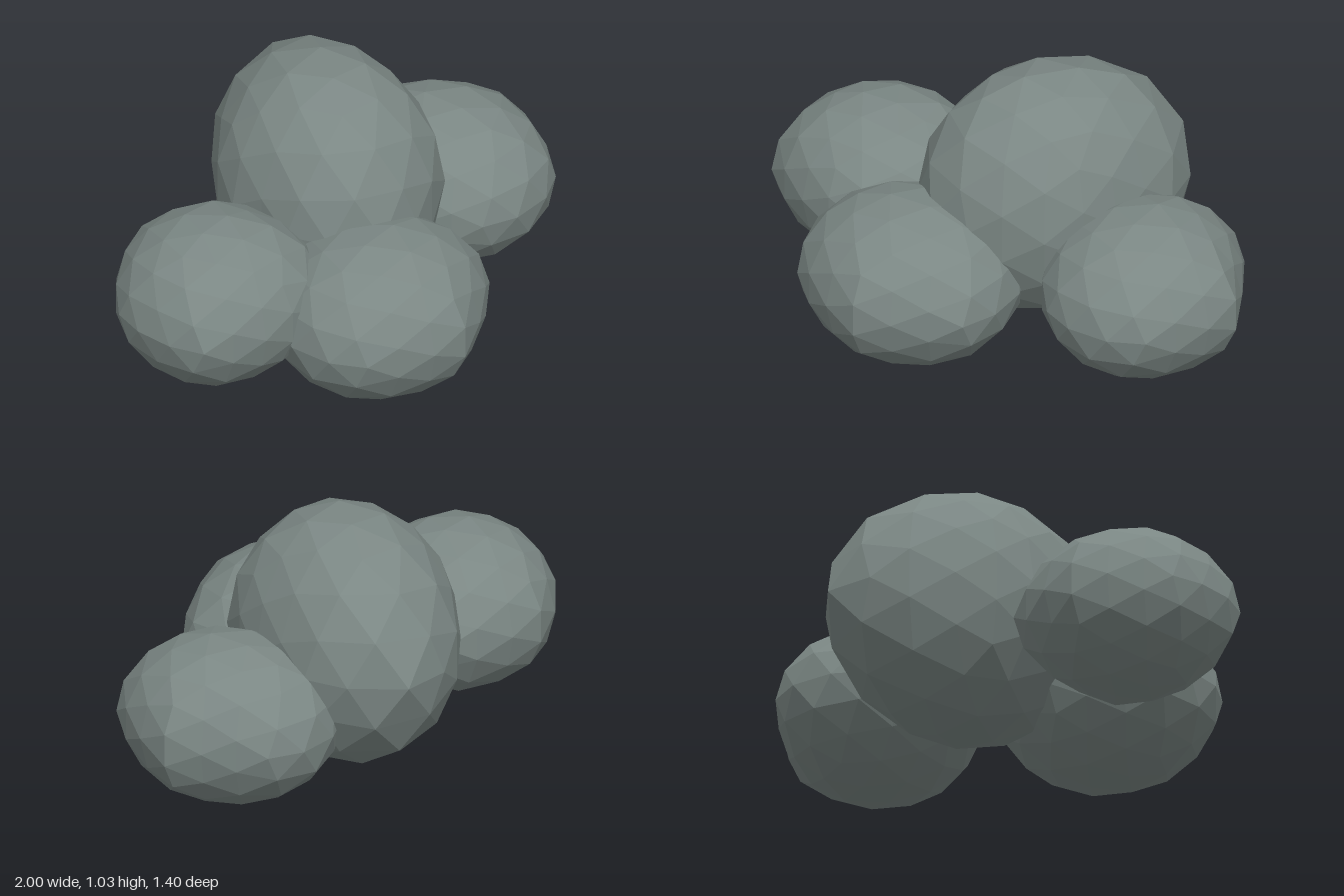
import * as THREE from 'three';

// Radius at an azimuth (0 = +x, turning towards +z), from 12 evenly spaced radii
function radiusAt(outline, azimuth) {
  const n = outline.length;
  const t = ((azimuth / (Math.PI * 2)) * n + n) % n;
  const i = Math.floor(t) % n;
  return THREE.MathUtils.lerp(outline[i], outline[(i + 1) % n], t - Math.floor(t));
}

// Faceted ball whose plan follows an uneven outline, squashed to the given half height
function makeBoulder({ name, centre, halfHeight, turn, outline }, material) {
  const geometry = new THREE.IcosahedronGeometry(1, 2);
  geometry.rotateY(THREE.MathUtils.degToRad(turn));
  const p = geometry.attributes.position;
  for (let i = 0; i < p.count; i++) {
    const x = p.getX(i), z = p.getZ(i);
    const r = radiusAt(outline, Math.atan2(z, x));
    p.setXYZ(i, x * r, p.getY(i) * halfHeight, z * r);
  }
  geometry.computeVertexNormals();
  const mesh = new THREE.Mesh(geometry, material);
  mesh.name = name;
  mesh.position.set(...centre);
  return mesh;
}

export function createModel() {
  const stone = new THREE.MeshStandardMaterial({ color: 0x7b8784, flatShading: true });
  stone.name = 'grey stone';

  const boulders = [
    {
      name: 'largeBoulder', centre: [0.09, 0.555, -0.18], halfHeight: 0.488, turn: 50,
      outline: [0.41, 0.39, 0.44, 0.46, 0.51, 0.49, 0.42, 0.42, 0.43, 0.505, 0.58, 0.5],
    },
    {
      name: 'rightBoulder', centre: [-0.63, 0.4, -0.15], halfHeight: 0.317, turn: 0,
      outline: [0.37, 0.42, 0.4, 0.37, 0.36, 0.405, 0.375, 0.38, 0.37, 0.4, 0.39, 0.44],
    },
    {
      name: 'frontBoulder', centre: [-0.22, 0.315, 0.3], halfHeight: 0.32, turn: 0,
      outline: [0.43, 0.44, 0.38, 0.41, 0.385, 0.42, 0.43, 0.42, 0.4, 0.41, 0.4, 0.43],
    },
    {
      name: 'leftBoulder', centre: [0.6, 0.35, -0.03], halfHeight: 0.317, turn: 90,
      outline: [0.4, 0.38, 0.42, 0.425, 0.41, 0.39, 0.385, 0.39, 0.42, 0.435, 0.41, 0.345],
    },
  ];

  const group = new THREE.Group();
  group.name = 'rockPile';
  for (const boulder of boulders) group.add(makeBoulder(boulder, stone));
  return group;
}
